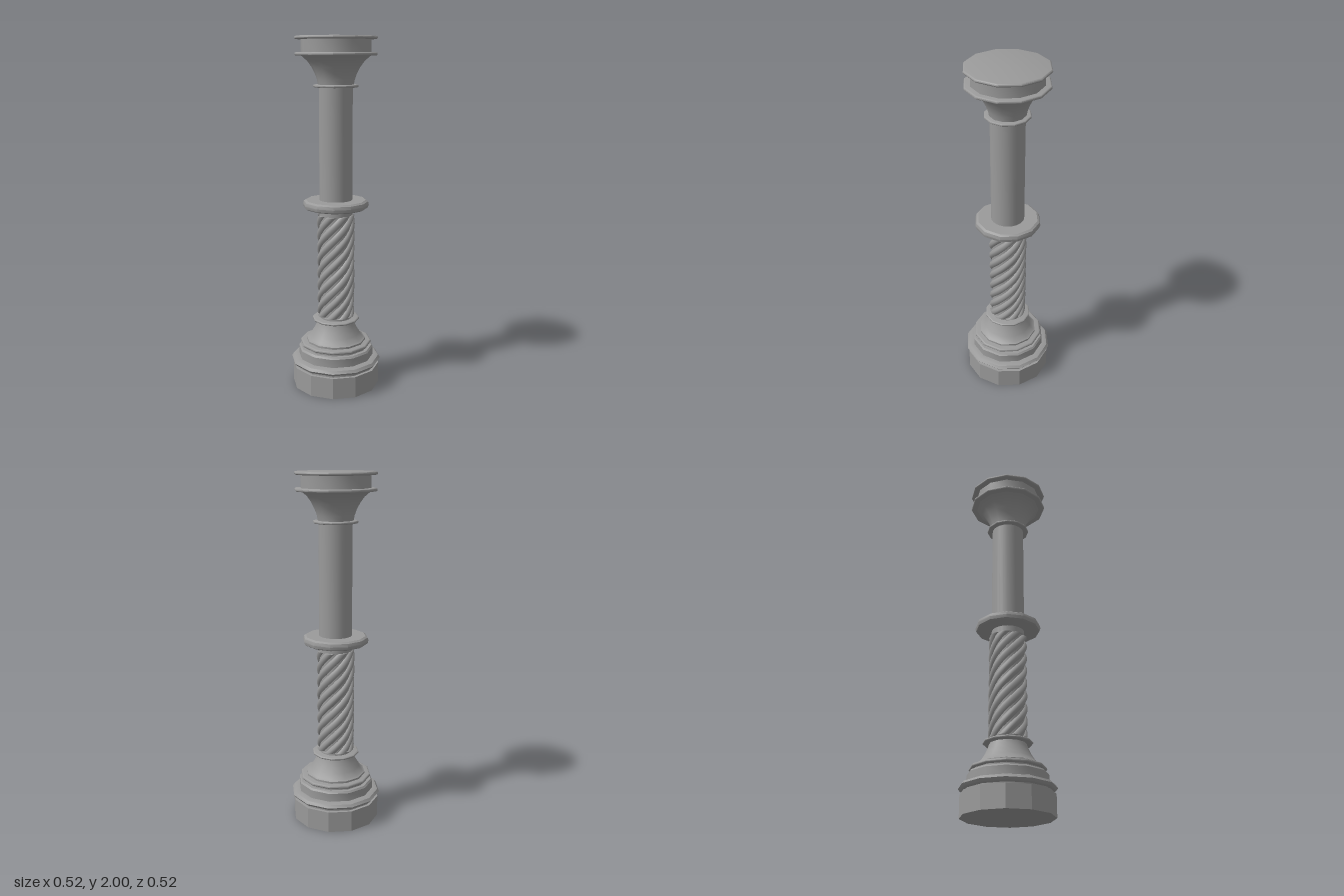
import * as THREE from 'three';
import { toCreasedNormals } from 'three/addons/utils/BufferGeometryUtils.js';

const SIDES = 12;
const material = new THREE.MeshStandardMaterial({ color: 0x9a9a9a });

// Turned part from [radius, height] pairs, bottom to top
function turned(name, profile, sides = SIDES, crease = 0.6) {
  const points = profile.map(([r, y]) => new THREE.Vector2(r, y));
  const geometry = toCreasedNormals(new THREE.LatheGeometry(points, sides), crease);
  const mesh = new THREE.Mesh(geometry, material);
  mesh.name = name;
  return mesh;
}

// Thin collar with a rounded rim, closed top and bottom
function collar(name, r, y0, y1) {
  const h = (y1 - y0) / 2;
  const profile = [[0, y0]];
  for (let i = 0; i <= 6; i++) {
    const a = (i / 6 - 0.5) * Math.PI;
    profile.push([r - h + h * Math.cos(a), y0 + h + h * Math.sin(a)]);
  }
  profile.push([0, y1]);
  return turned(name, profile);
}

// Helical path climbing the lower shaft
class Helix extends THREE.Curve {
  constructor(radius, y0, y1, start, turns) {
    super();
    Object.assign(this, { radius, y0, y1, start, turns });
  }
  getPoint(t, target = new THREE.Vector3()) {
    const a = this.start + t * this.turns * Math.PI * 2;
    return target.set(
      this.radius * Math.sin(a),
      this.y0 + t * (this.y1 - this.y0),
      this.radius * Math.cos(a),
    );
  }
}

// Helical strand with its ends cut off level
function strandGeometry(start, bottom, top) {
  const path = new Helix(0.086, bottom - 0.03, top + 0.03, start, 1.1);
  const geometry = new THREE.TubeGeometry(path, 56, 0.022, 8);
  const position = geometry.attributes.position;
  for (let i = 0; i < position.count; i++) {
    position.setY(i, THREE.MathUtils.clamp(position.getY(i), bottom, top));
  }
  return geometry;
}

export function createModel() {
  const column = new THREE.Group();
  column.name = 'column';

  // Base: faceted plinth, mouldings and flared foot
  column.add(turned('plinth', [[0, 0], [0.252, 0], [0.252, 0.123], [0, 0.123]], SIDES, 0.1));
  column.add(turned('baseMoulding', [
    [0.235, 0.122], [0.235, 0.134], [0.25, 0.139], [0.261, 0.153],
    [0.25, 0.168], [0.235, 0.173], [0.218, 0.174], [0.218, 0.222], [0.21, 0.232], [0, 0.232],
  ]));
  column.add(turned('footNeck', [[0.19, 0.23], [0.19, 0.25]]));
  column.add(collar('footCollar', 0.207, 0.244, 0.264));
  column.add(turned('foot', [
    [0.172, 0.262], [0.172, 0.275], [0.16, 0.282], [0.14, 0.31],
    [0.122, 0.34], [0.108, 0.37], [0.1, 0.395],
  ]));
  column.add(collar('lowerCollar', 0.136, 0.39, 0.404));

  // Shaft with twisted strands on its lower half
  column.add(turned('shaft', [[0.093, 0.39], [0.093, 1.74]], 24));
  const strands = new THREE.Group();
  strands.name = 'twistedStrands';
  const count = 8;
  for (let i = 0; i < count; i++) {
    const start = (i / count) * Math.PI * 2;
    const strand = new THREE.Mesh(strandGeometry(start, 0.418, 1.015), material);
    strand.name = 'strand';
    strands.add(strand);
  }
  column.add(strands);
  column.add(turned('middleRing', [
    [0, 1.053], [0.17, 1.053], [0.182, 1.06], [0.187, 1.077],
    [0.182, 1.094], [0.17, 1.102], [0, 1.102],
  ]));

  // Capital: neck collar, flared bell, drum and top slab
  column.add(collar('neckCollar', 0.125, 1.727, 1.742));
  column.add(turned('bell', [
    [0.098, 1.74], [0.104, 1.77], [0.115, 1.8], [0.133, 1.835],
    [0.157, 1.868], [0.185, 1.892], [0.2, 1.902],
  ]));
  column.add(collar('bellCollar', 0.226, 1.896, 1.914));
  column.add(turned('drum', [[0.192, 1.91], [0.192, 1.988]]));
  column.add(collar('topSlab', 0.226, 1.982, 2));
  return column;
}
